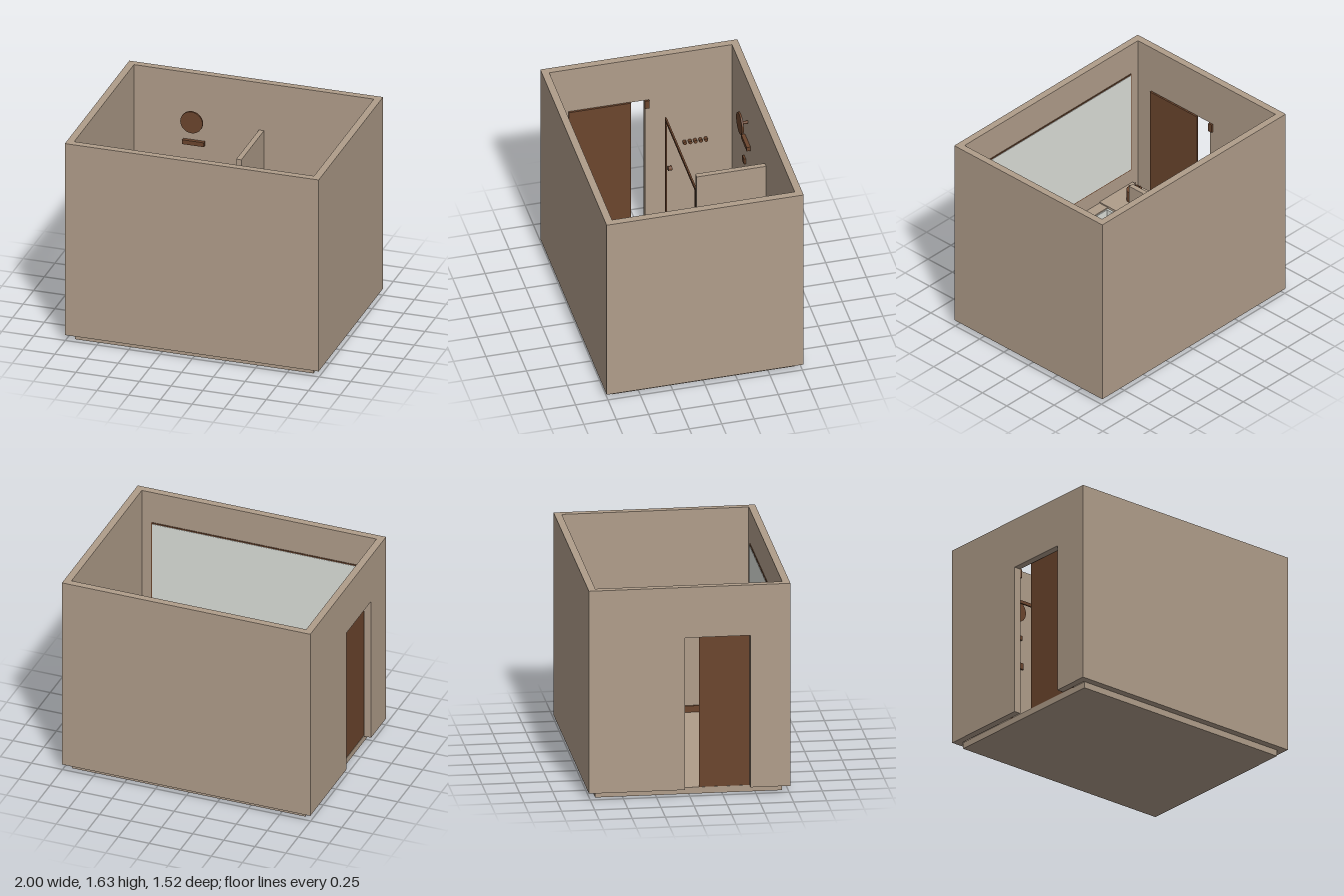
import * as THREE from 'three';

export function createModel() {
  const room = new THREE.Group();
  room.name = 'bathroom';
  const mat = (name, color) => Object.assign(new THREE.MeshStandardMaterial({ color }), { name });
  const stone = mat('warm stone', 0xb09d8a);
  const bronze = mat('brown bronze', 0x6b452d);
  const white = mat('off white', 0xdcdfd9);

  const add = (name, geometry, material, x = 0, y = 0, z = 0) => {
    const m = new THREE.Mesh(geometry, material);
    m.name = name;
    m.position.set(x, y, z);
    room.add(m);
    return m;
  };
  // Box given by its limits on each axis
  const box = (name, material, x0, x1, y0, y1, z0, z1) =>
    add(name, new THREE.BoxGeometry(x1 - x0, y1 - y0, z1 - z0), material,
      (x0 + x1) / 2, (y0 + y1) / 2, (z0 + z1) / 2);
  // Upright cylinder
  const post = (name, material, r, h, x, y, z) =>
    add(name, new THREE.CylinderGeometry(r, r, h, 20), material, x, y + h / 2, z);
  // Disc or rod whose axis points along z or x
  const rod = (name, material, r, len, x, y, z, axis) => {
    const m = add(name, new THREE.CylinderGeometry(r, r, len, 24), material, x, y, z);
    if (axis === 'z') m.rotation.x = Math.PI / 2;
    else m.rotation.z = Math.PI / 2;
    return m;
  };

  // Floor and outer walls
  const F = 0.05, H = 1.635;
  box('floor', stone, -0.94, 0.94, 0, F, -0.705, 0.705);
  box('frontWall', stone, -1, 1, F, H, 0.705, 0.76);
  box('backWall', stone, -1, 1, F, H, -0.76, -0.705);
  box('leftWall', stone, 0.945, 1, F, H, -0.705, 0.705);
  box('rightWallBack', stone, -1, -0.945, F, H, -0.705, -0.035);
  box('rightWallFront', stone, -1, -0.945, F, H, 0.46, 0.705);
  box('doorLintel', stone, -1, -0.945, 1.24, H, -0.035, 0.46);
  box('partition', stone, 0.04, 0.08, F, 1.243, -0.705, -0.17);
  box('leftBaseboard', bronze, 0.932, 0.945, F, 0.1, -0.705, 0.705);
  box('frontBaseboard', bronze, -0.945, 0.932, F, 0.1, 0.693, 0.705);

  // Sliding door inside the doorway
  box('slidingDoor', bronze, -0.937, -0.922, F, 1.25, 0.08, 0.56);
  box('wallSwitch', bronze, -0.945, -0.93, 1.17, 1.24, -0.065, -0.03);

  // Wide mirror with a thin frame
  box('mirrorFrame', bronze, -0.868, 0.868, 0.5, 1.374, 0.7, 0.705);
  box('mirror', white, -0.858, 0.858, 0.51, 1.364, 0.697, 0.7);

  // Bath surround with sunken basin
  const rimY = 0.38;
  box('surroundRight', stone, -0.885, -0.525, F, rimY, 0.4, 0.705);
  box('surroundLeft', stone, 0.525, 0.885, F, rimY, 0.4, 0.705);
  box('surroundFront', stone, -0.525, 0.525, F, rimY - 0.01, 0.405, 0.44);
  box('surroundBack', stone, -0.525, 0.525, F, rimY - 0.01, 0.62, 0.705);
  box('basinFloor', white, -0.525, 0.525, F, 0.14, 0.44, 0.62);
  for (const s of [-1, 1]) {
    box('basinEnd', white, s * 0.517 - 0.008, s * 0.517 + 0.008, 0.14, 0.36, 0.44, 0.62);
    box('basinSide', white, -0.509, 0.509, 0.14, 0.36, 0.53 + s * 0.086 - 0.004, 0.53 + s * 0.086 + 0.004);
  }
  box('bathSpout', bronze, -0.011, 0.011, 0.46, 0.48, 0.58, 0.697);
  rod('bathTapKnob', bronze, 0.015, 0.03, 0.09, 0.47, 0.682, 'z');

  // Pot with a leafy top, and a spiky ornament, on the surround
  post('plantPot', bronze, 0.06, 0.09, -0.73, rimY, 0.54);
  const leaves = (x, y, z, count, len) => {
    for (let i = 0; i < count; i++) {
      const holder = new THREE.Group();
      holder.name = 'leaf';
      holder.position.set(x, y, z);
      holder.rotation.y = (i / count) * Math.PI * 2;
      const leaf = new THREE.Mesh(new THREE.ConeGeometry(0.012, len, 6), bronze);
      leaf.name = 'leafBlade';
      leaf.rotation.z = -1.1;
      leaf.position.set(len * 0.45, len * 0.23, 0);
      holder.add(leaf);
      room.add(holder);
    }
  };
  leaves(-0.73, rimY + 0.09, 0.54, 5, 0.06);
  post('ornamentFoot', bronze, 0.025, 0.05, 0.72, rimY, 0.545);
  leaves(0.72, rimY + 0.05, 0.545, 8, 0.06);

  // Shower fittings on the back wall
  rod('showerHead', bronze, 0.088, 0.015, -0.47, 1.257, -0.645, 'z');
  rod('showerArm', bronze, 0.012, 0.06, -0.47, 1.257, -0.677, 'z');
  box('showerShelf', bronze, -0.555, -0.385, 1.05, 1.085, -0.705, -0.675);
  for (const x of [-0.555, -0.385])
    box('showerTap', bronze, x - 0.025, x + 0.025, 0.82, 0.87, -0.705, -0.69);
  box('showerMixer', bronze, -0.5, -0.44, 0.6, 0.66, -0.705, -0.69);

  // Shower screen frame
  for (const y of [F, 1.05]) box('screenRail', bronze, -0.91, 0, y, y + 0.025, -0.191, -0.178);
  for (const x of [-0.91, -0.015]) box('screenPost', bronze, x, x + 0.015, F, 1.075, -0.191, -0.178);
  rod('screenKnob', bronze, 0.018, 0.03, -0.905, 0.6, -0.215, 'z');

  // Row of hooks on the right wall
  for (let i = 0; i < 5; i++) rod('wallHook', bronze, 0.014, 0.03, -0.93, 0.8, -0.5 + i * 0.041, 'x');

  // Toilet with flush plate, paper roll and brush
  box('toiletBowl', white, 0.42, 0.61, F, 0.29, -0.705, -0.43);
  box('toiletLid', white, 0.41, 0.622, 0.29, 0.315, -0.69, -0.42);
  box('flushPlate', bronze, 0.46, 0.565, 0.62, 0.69, -0.705, -0.698);
  rod('paperRoll', white, 0.016, 0.065, 0.897, 0.42, -0.33, 'x');
  box('paperHolder', bronze, 0.93, 0.945, 0.4, 0.44, -0.345, -0.315);
  box('brushHolder', bronze, 0.882, 0.91, F, 0.25, -0.51, -0.468);
  box('partitionHook', bronze, 0.08, 0.162, 0.5, 0.515, -0.52, -0.5);

  // Wall shelf with a folded towel
  box('wallShelf', bronze, 0.867, 0.945, 0.56, 0.61, -0.145, 0.21);
  box('foldedTowel', stone, 0.872, 0.912, 0.61, 0.65, -0.04, 0.115);

  return room;
}
